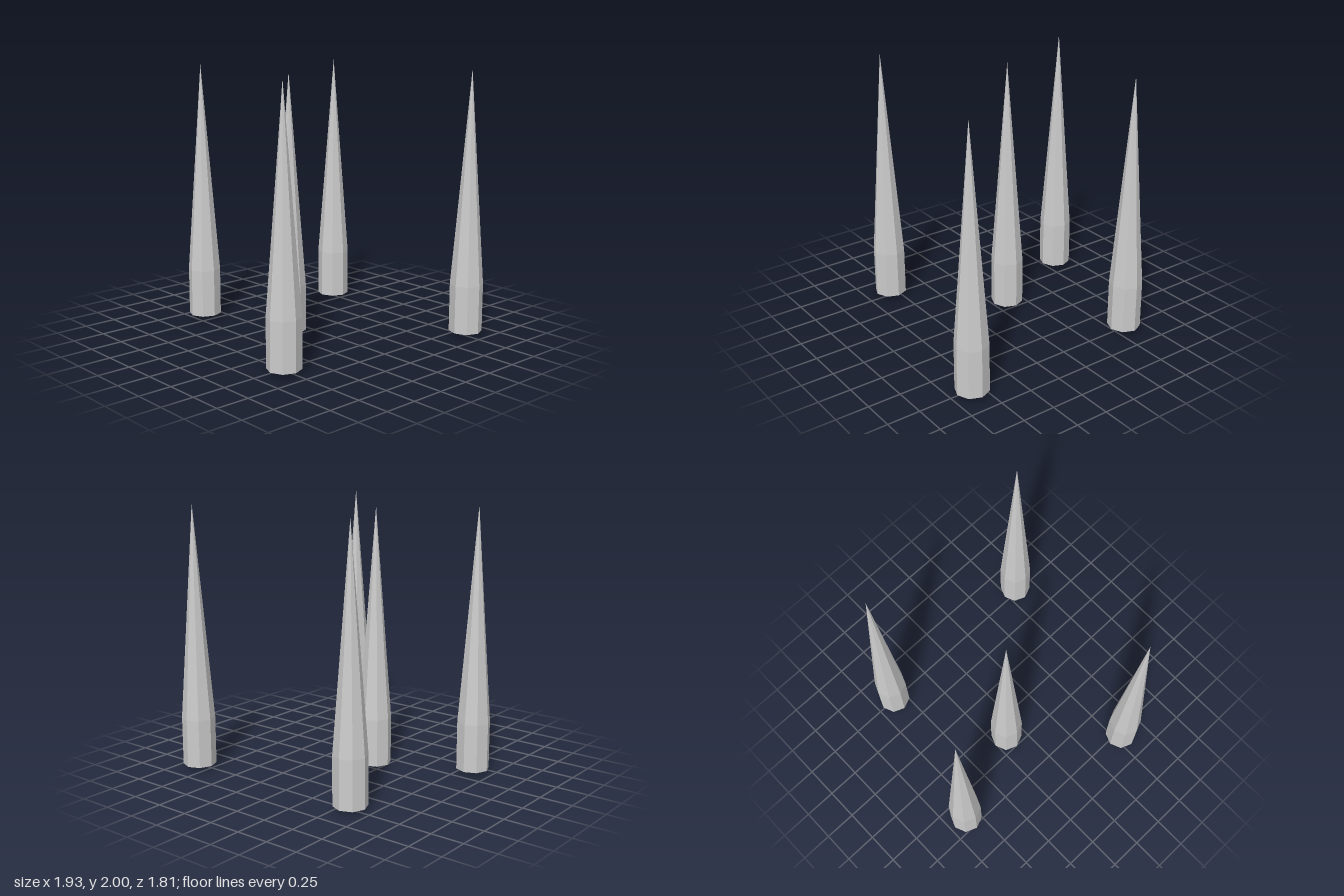
import * as THREE from 'three';

const RADIUS = 0.124, SHOULDER = 0.365, HEIGHT = 1.97;

// x, base height, z of each spike
const SPOTS = [
  [-0.135, 0, 0.13],
  [-0.845, 0.03, 0.405],
  [0.554, 0.03, 0.778],
  [-0.588, 0.03, -0.75],
  [0.842, 0.03, -0.78],
];

export function createModel() {
  const group = new THREE.Group();
  group.name = 'spikes';
  const material = new THREE.MeshStandardMaterial({
    color: 0xcccccc, flatShading: true, side: THREE.DoubleSide,
  });

  // Eight-sided shells, open underneath
  const shaft = new THREE.CylinderGeometry(RADIUS, RADIUS, SHOULDER, 8, 1, true);
  shaft.translate(0, SHOULDER / 2, 0);
  const tip = new THREE.ConeGeometry(RADIUS, HEIGHT - SHOULDER, 8, 1, true);
  tip.translate(0, (HEIGHT + SHOULDER) / 2, 0);

  for (const [x, y, z] of SPOTS) {
    const spike = new THREE.Group();
    spike.name = 'spike';
    for (const [name, geometry] of [['shaft', shaft], ['tip', tip]]) {
      const mesh = new THREE.Mesh(geometry, material);
      mesh.name = name;
      spike.add(mesh);
    }
    spike.position.set(x, y, z);
    group.add(spike);
  }
  return group;
}
